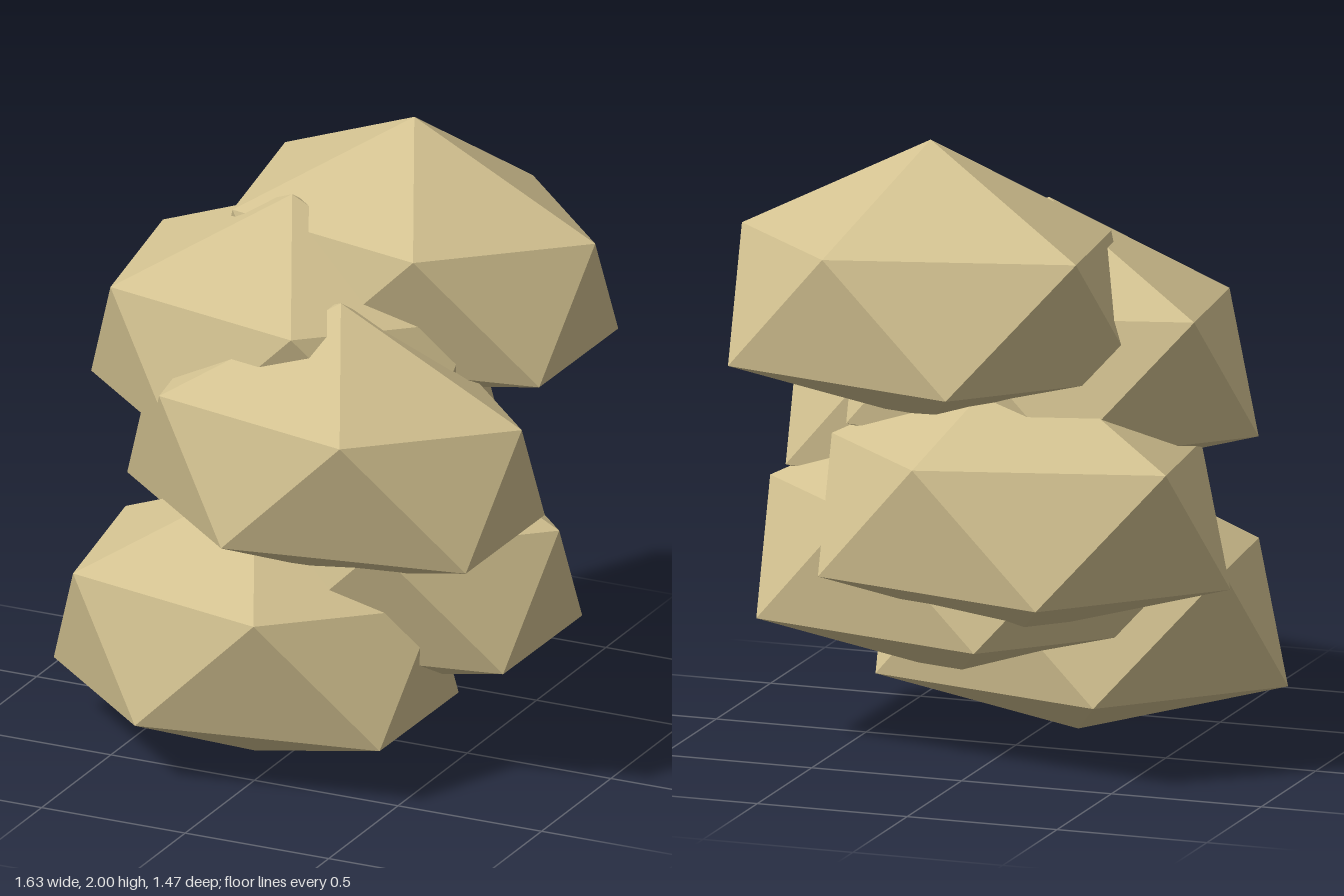
import * as THREE from 'three';

// One irregular twenty-sided boulder: apex at the origin, two rings of five, a bottom point
function boulderGeometry() {
  const upper = [[0.63, -0.32, 0], [0.22, -0.29, 0.465], [-0.51, -0.31, 0.255], [-0.59, -0.29, -0.29], [0.21, -0.31, -0.42]];
  const lower = [[0.57, -0.715, 0.28], [-0.21, -0.71, 0.43], [-0.7, -0.715, 0], [-0.22, -0.72, -0.47], [0.575, -0.715, -0.28]];
  const points = [[0, 0, 0], ...upper, ...lower, [0, -0.91, 0]];
  const index = [];
  for (let i = 0; i < 5; i++) {
    const j = (i + 1) % 5;
    const u = 1 + i, un = 1 + j, l = 6 + i, ln = 6 + j;
    index.push(0, un, u, u, un, l, un, ln, l, l, ln, 11);
  }
  const indexed = new THREE.BufferGeometry();
  indexed.setAttribute('position', new THREE.Float32BufferAttribute(points.flat(), 3));
  indexed.setIndex(index);
  const geometry = indexed.toNonIndexed();
  geometry.computeVertexNormals();
  return geometry;
}

export function createModel() {
  const group = new THREE.Group();
  group.name = 'boulderStack';
  const stone = new THREE.MeshStandardMaterial({ color: 0xd2c190, flatShading: true });
  stone.name = 'sandstone';
  const geometry = boulderGeometry();

  // Six overlapping copies stepping downwards, zigzagging in x and z
  const apexes = [
    [0.19, 2.0, -0.26], [-0.11, 1.78, 0], [0.19, 1.56, 0.27],
    [-0.11, 1.345, -0.26], [0.19, 1.125, 0], [-0.11, 0.91, 0.27],
  ];
  apexes.forEach((p, i) => {
    const boulder = new THREE.Mesh(geometry, stone);
    boulder.name = `boulder${i + 1}`;
    boulder.position.set(...p);
    group.add(boulder);
  });
  return group;
}
